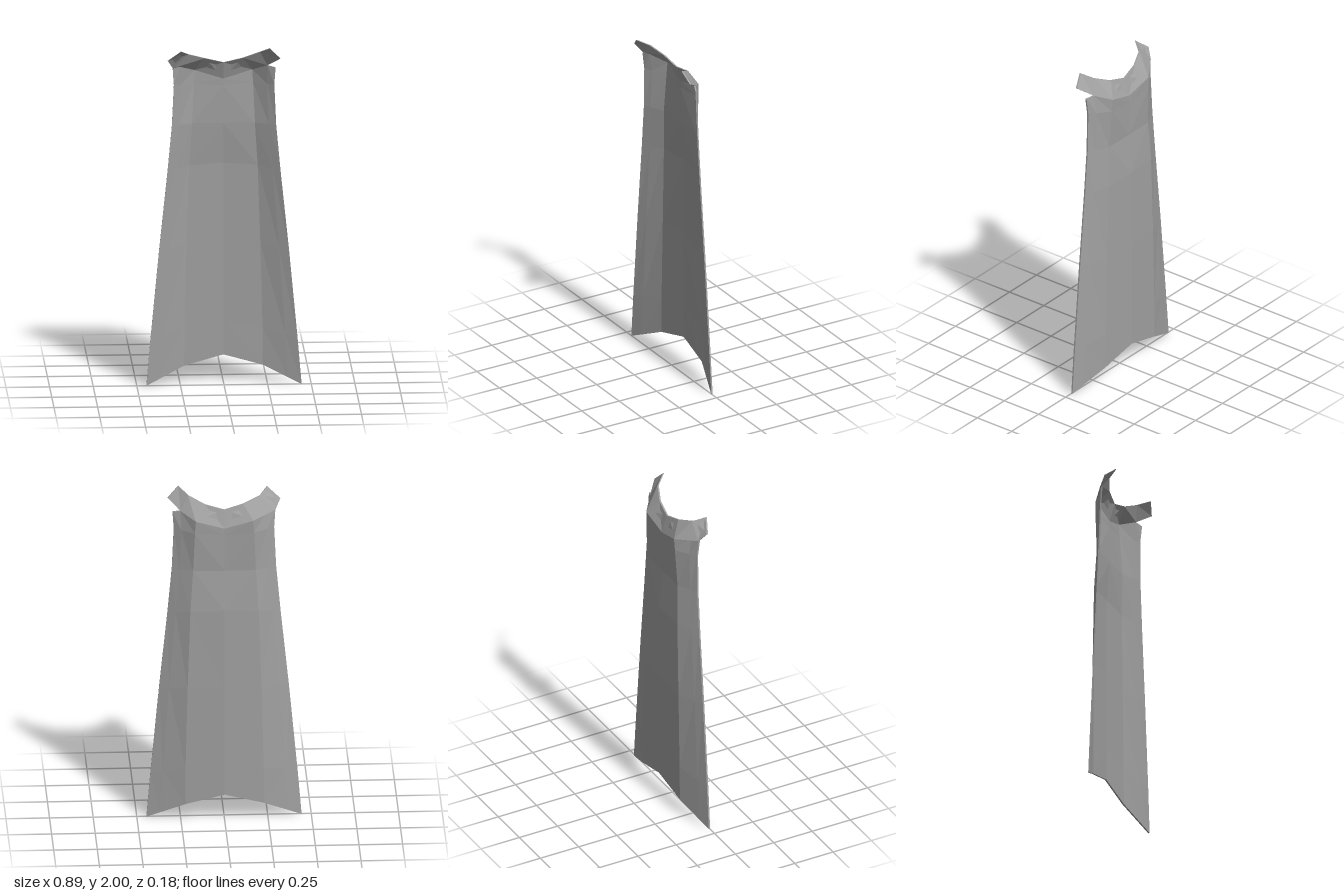
import * as THREE from 'three';

const THICK = 0.009;

// Mirror a half row (centre to +x edge) into a full row running from -x to +x
function fullRow(half, left = half) {
  const mirrored = left.slice(1).reverse().map(([x, y, z]) => [-x, y, z]);
  return [...mirrored, ...half];
}

// Closed thin shell from a grid of points, rows running from bottom to top
function shell(rows, name, material) {
  const pos = [];
  const tri = (a, b, c) => pos.push(...a, ...b, ...c);
  const quad = (a, b, c, d) => { tri(a, b, c); tri(a, c, d); };
  const back = rows.map(r => r.map(([x, y, z]) => [x, y, z - THICK]));
  const n = rows.length - 1, m = rows[0].length - 1;
  for (let i = 0; i < n; i++) {
    for (let j = 0; j < m; j++) {
      // diagonals mirror about the middle
      const q = g => [g[i][j], g[i][j + 1], g[i + 1][j + 1], g[i + 1][j]];
      const [a, b, c, d] = q(rows), [e, f, g, h] = q(back);
      if (j < m / 2) { quad(a, b, c, d); quad(f, e, h, g); }
      else { quad(b, c, d, a); quad(e, h, g, f); }
    }
    // side rims
    quad(back[i][0], rows[i][0], rows[i + 1][0], back[i + 1][0]);
    quad(rows[i][m], back[i][m], back[i + 1][m], rows[i + 1][m]);
  }
  // hem and upper rims
  for (let j = 0; j < m; j++) {
    quad(back[0][j], back[0][j + 1], rows[0][j + 1], rows[0][j]);
    quad(rows[n][j], rows[n][j + 1], back[n][j + 1], back[n][j]);
  }
  const geo = new THREE.BufferGeometry();
  geo.setAttribute('position', new THREE.Float32BufferAttribute(pos, 3));
  geo.computeVertexNormals();
  const mesh = new THREE.Mesh(geo, material);
  mesh.name = name;
  return mesh;
}

export function createModel() {
  const group = new THREE.Group();
  group.name = 'cape';
  const cloth = new THREE.MeshStandardMaterial({ color: 0xa0a0a0, flatShading: true, side: THREE.DoubleSide });
  cloth.name = 'grey cloth';

  // Centre, back fold and side edge of the drape at each height
  const sections = [
    [[0, 0.16, -0.080], [0.225, 0.10, -0.066], [0.445, 0.00, 0.002]],
    [[0, 0.36, -0.080], [0.224, 0.32, -0.067], [0.422, 0.27, 0.003]],
    [[0, 0.82, -0.080], [0.212, 0.81, -0.068], [0.372, 0.80, 0.004]],
    [[0, 1.29, -0.078], [0.196, 1.28, -0.066], [0.324, 1.26, 0.005]],
    [[0, 1.53, -0.058], [0.180, 1.53, -0.056], [0.299, 1.53, 0.006]],
    [[0, 1.75, -0.060], [0.170, 1.765, -0.068], [0.288, 1.77, 0.010]],
  ];
  const mix = (a, b, t) => a.map((v, k) => v + (b[k] - v) * t);
  const shoulder = [[0, 1.79, -0.060], [0.165, 1.84, -0.071], [0.25, 1.88, 0.000], [0.295, 1.87, 0.018]];
  const drape = sections.map(([c, f, e]) => fullRow([c, f, mix(f, e, 0.65), e]));
  drape.push(fullRow(shoulder));
  group.add(shell(drape, 'drape', cloth));

  // Collar flaring forward into two pointed shoulder tabs, the -x one a little lower
  const lower = [shoulder[0], shoulder[1], shoulder[2], [0.32, 1.935, 0.068]];
  const lowerLeft = [shoulder[0], shoulder[1], [0.295, 1.872, 0.014], [0.325, 1.925, 0.054]];
  const upper = [[0, 1.893, -0.028], [0.11, 1.922, -0.014], [0.205, 1.965, 0.024], [0.258, 2.0, 0.088]];
  const upperLeft = [upper[0], upper[1], [0.205, 1.955, 0.024], [0.25, 1.987, 0.088]];
  group.add(shell([fullRow(lower, lowerLeft), fullRow(upper, upperLeft)], 'collar', cloth));

  return group;
}
